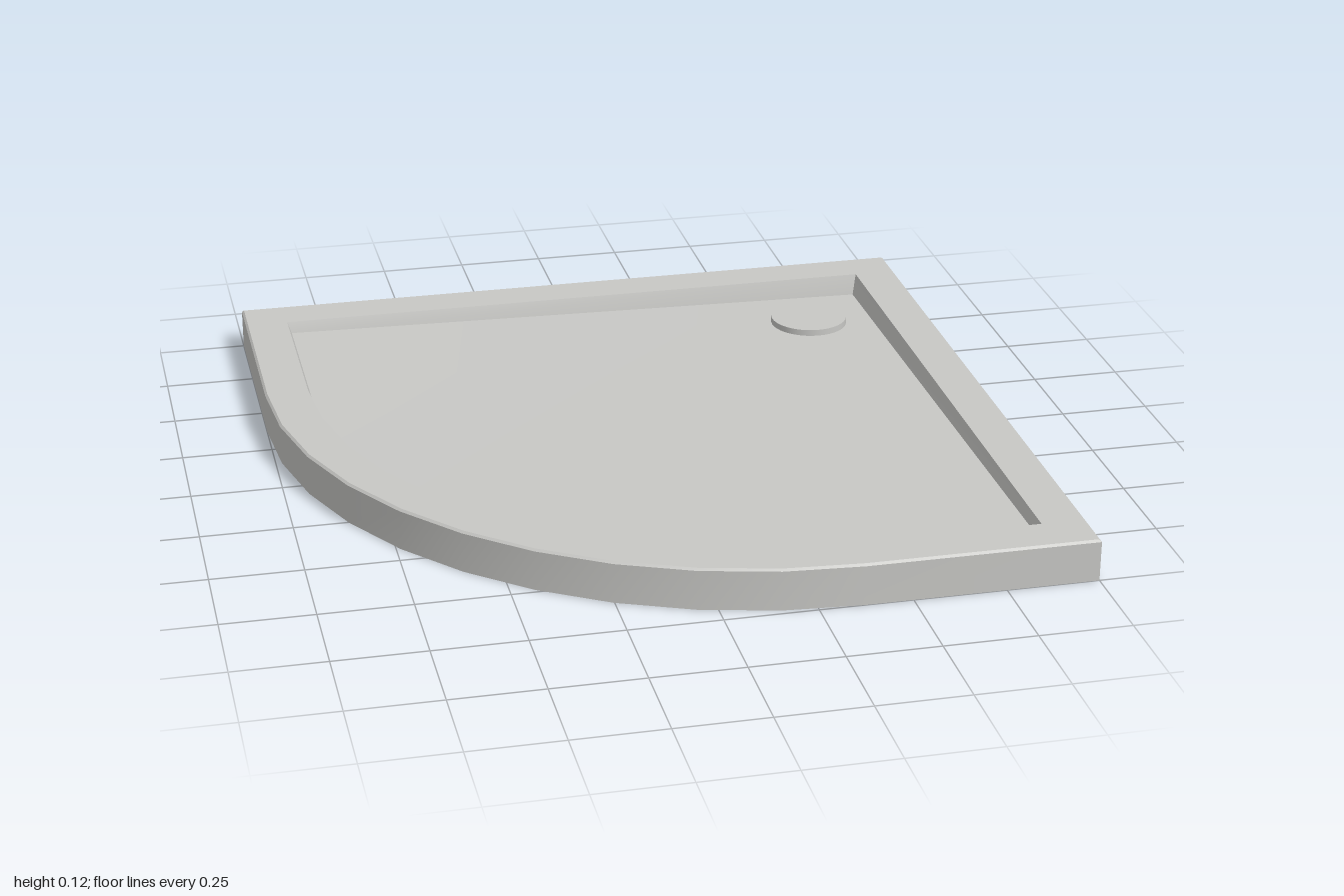
import * as THREE from 'three';
import { toCreasedNormals } from 'three/addons/utils/BufferGeometryUtils.js';

const HEIGHT = 0.117;
const ARC = 0.37; // the arc is centred on (ARC, -ARC)
const ARC_STEPS = 10;

// Quadrant outline, inset from the outer edge; the last point is the drain corner
function outline(inset, heightAt) {
  const e = 1 - inset, r = 1 + ARC - inset;
  const flat = [[-e, -e]];
  for (let i = 0; i <= ARC_STEPS; i++) {
    const a = (i / ARC_STEPS) * Math.PI / 2;
    flat.push([ARC - r * Math.cos(a), -ARC + r * Math.sin(a)]);
  }
  flat.push([e, e], [e, -e]);
  return flat.map(([x, z]) => [x, heightAt(x, z), z]);
}

// The floor falls from the far corners towards the drain corner
const floorHeight = (x, z) => 0.055 + 0.03 * Math.min(1, (1.73 - (x - z)) / 1.73);

function creased(triangles) {
  const geometry = new THREE.BufferGeometry();
  geometry.setAttribute('position', new THREE.Float32BufferAttribute(triangles.flat(), 3));
  return toCreasedNormals(geometry, 0.5);
}

// Join successive rings with quads
function loft(rings) {
  const triangles = [];
  for (let k = 0; k < rings.length - 1; k++) {
    const a = rings[k], b = rings[k + 1], n = a.length;
    for (let i = 0; i < n; i++) {
      const j = (i + 1) % n;
      triangles.push(a[i], a[j], b[j], a[i], b[j], b[i]);
    }
  }
  return creased(triangles);
}

// Fan the floor out from the drain corner
function fan(ring) {
  const triangles = [], last = ring.length - 1;
  for (let i = 0; i < last - 1; i++) triangles.push(ring[last], ring[i], ring[i + 1]);
  return creased(triangles);
}

export function createModel() {
  const group = new THREE.Group();
  group.name = 'showerTray';
  const enamel = new THREE.MeshStandardMaterial({ color: 0xc8c8c5, side: THREE.DoubleSide });
  enamel.name = 'pale grey enamel';

  const add = (name, geometry) => {
    const mesh = new THREE.Mesh(geometry, enamel);
    mesh.name = name;
    group.add(mesh);
    return mesh;
  };

  // Outer skirt, flat rim and sloping basin wall, open underneath
  const floorRing = outline(0.133, floorHeight);
  add('skirtAndRim', loft([
    outline(0, () => 0),
    outline(0, () => HEIGHT - 0.006),
    outline(0.006, () => HEIGHT),
    outline(0.122, () => HEIGHT),
    floorRing,
  ]));

  add('basinFloor', fan(floorRing));

  // Round drain cover
  const cover = add('drainCover', new THREE.CylinderGeometry(0.113, 0.113, 0.024, 40));
  cover.position.set(0.675, 0.067, -0.68);

  return group;
}
